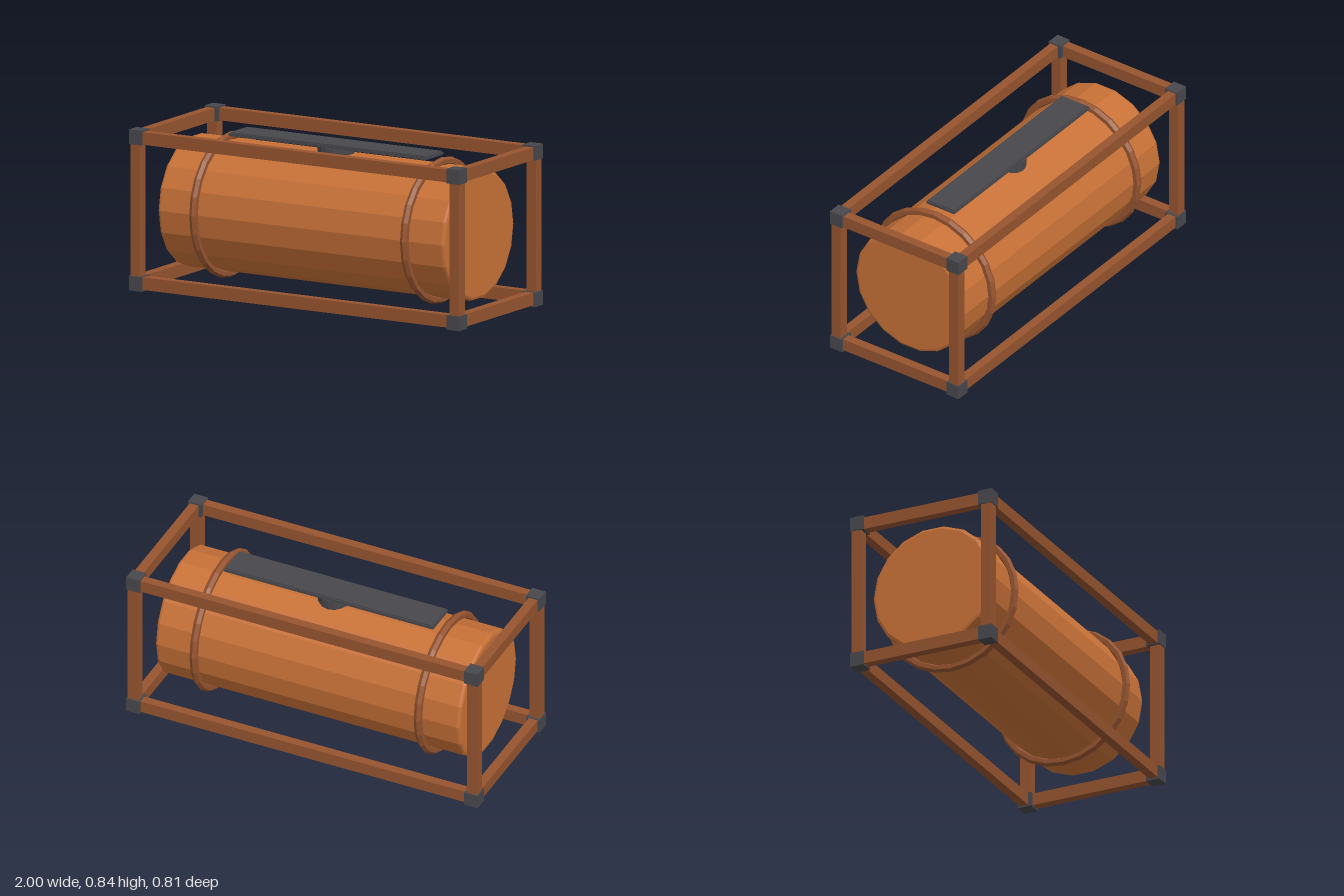
import * as THREE from 'three';

export function createModel() {
  const model = new THREE.Group();
  model.name = 'framedTank';

  const paint = (name, color) => {
    const m = new THREE.MeshStandardMaterial({ color, flatShading: true });
    m.name = name;
    return m;
  };
  const orange = paint('tankOrange', 0xc87137);
  const rust = paint('frameRust', 0x96542f);
  const dark = paint('darkSteel', 0x48474c);

  const add = (name, geometry, material, x, y, z) => {
    const mesh = new THREE.Mesh(geometry, material);
    mesh.name = name;
    mesh.position.set(x, y, z);
    model.add(mesh);
    return mesh;
  };
  const box = (name, material, w, h, d, x, y, z) =>
    add(name, new THREE.BoxGeometry(w, h, d), material, x, y, z);

  const axisY = 0.422;

  // Horizontal tank with narrow chamfers at both ends
  const profile = [
    [0, -0.867], [0.327, -0.867], [0.339, -0.862], [0.344, -0.85],
    [0.344, 0.85], [0.339, 0.862], [0.327, 0.867], [0, 0.867],
  ].map(([r, y]) => new THREE.Vector2(r, y));
  const tank = new THREE.LatheGeometry(profile, 18);
  tank.rotateZ(Math.PI / 2);
  add('tank', tank, orange, 0, axisY, 0);

  // Two hoops around the tank
  for (const side of [-1, 1]) {
    const hoop = new THREE.TorusGeometry(0.36, 0.022, 6, 24);
    hoop.rotateY(Math.PI / 2);
    add('tankHoop', hoop, rust, side * 0.638, axisY, 0);
  }

  // Corner blocks and upright posts
  for (const sx of [-1, 1]) {
    for (const sz of [-1, 1]) {
      for (const y of [0.0385, 0.8055]) {
        box('cornerBlock', dark, 0.077, 0.077, 0.077, sx * 0.9615, y, sz * 0.3685);
      }
      box('cornerPost', rust, 0.057, 0.74, 0.057, sx * 0.9665, axisY, sz * 0.373);
    }
  }

  // Long rails and end rails, top and bottom
  for (const y of [0.042, 0.803]) {
    for (const side of [-1, 1]) {
      box('longRail', rust, 1.88, 0.066, 0.048, 0, y, side * 0.373);
      box('endRail', rust, 0.05, 0.066, 0.7, side * 0.965, y, 0);
    }
  }

  // Round hatch with the walkway above it
  add('hatch', new THREE.CylinderGeometry(0.096, 0.096, 0.1, 16), dark, 0, 0.75, 0);
  box('walkway', dark, 1.19, 0.014, 0.176, 0, 0.805, 0);
  box('walkwayTread', dark, 1.178, 0.006, 0.164, 0, 0.815, 0);

  return model;
}
